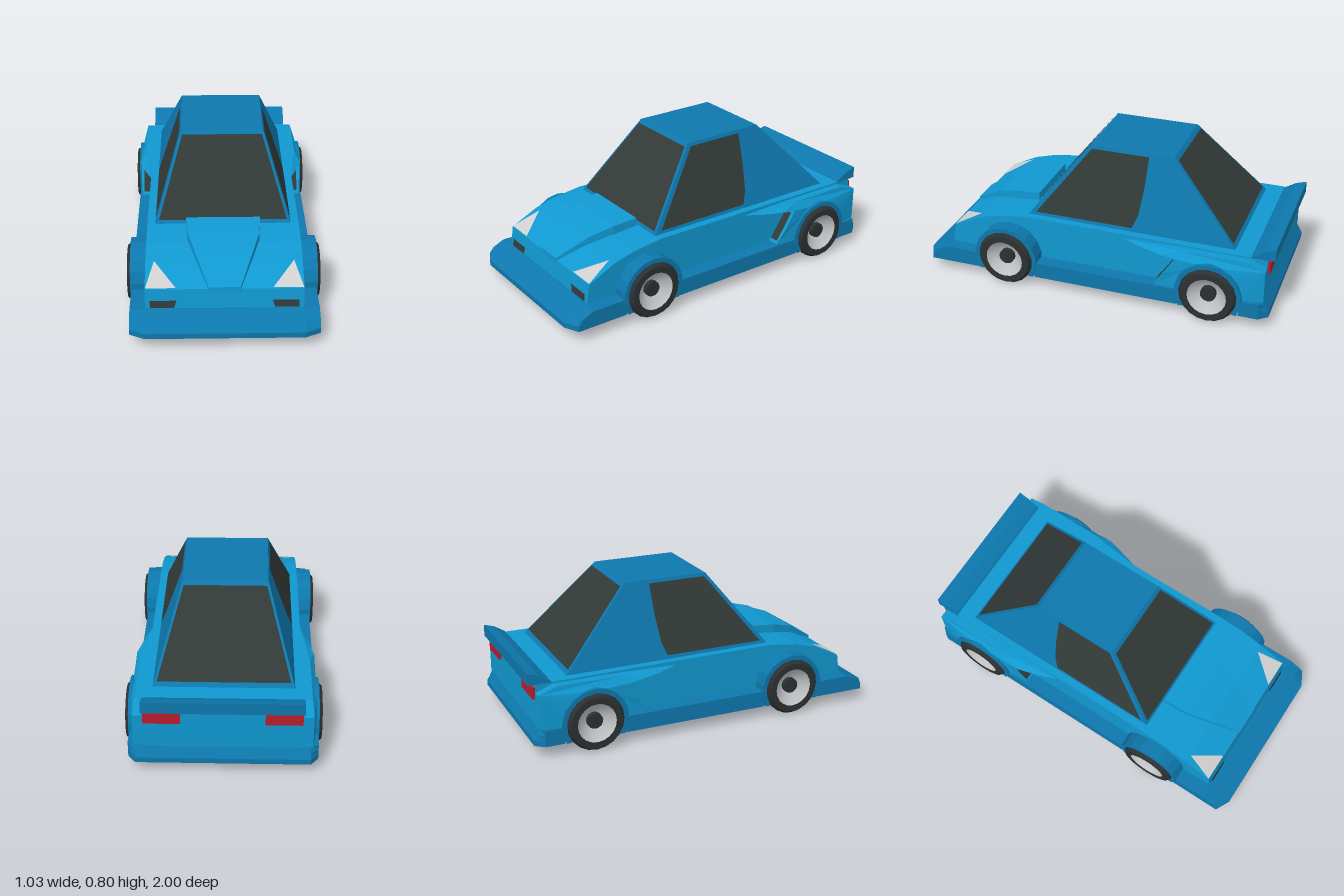
import * as THREE from 'three';

const material = (name, color, side = THREE.FrontSide) => {
  const m = new THREE.MeshStandardMaterial({ color, side, flatShading: true });
  m.name = name;
  return m;
};

export function createModel() {
  const car = new THREE.Group();
  car.name = 'car';
  const bodyBlue = material('body blue', 0x1098d0);
  const trimBlue = material('trim blue', 0x0d78ad);
  const glass = material('dark glass', 0x323a38);
  const rubber = material('tyre black', 0x2b3030);
  const chrome = material('rim silver', 0xc0c2c4, THREE.DoubleSide);
  const lamp = material('headlight white', 0xcfcfcf);
  const red = material('tail light red', 0xb81c2c);
  rubber.flatShading = chrome.flatShading = false;

  const add = (name, geo, mat, parent = car) => {
    const mesh = new THREE.Mesh(geo, mat);
    mesh.name = name;
    parent.add(mesh);
    return mesh;
  };
  // Move every vertex by a rule
  const reshape = (geo, rule) => {
    const p = geo.attributes.position, v = new THREE.Vector3();
    for (let i = 0; i < p.count; i++) {
      rule(v.fromBufferAttribute(p, i));
      p.setXYZ(i, v.x, v.y, v.z);
    }
    geo.computeVertexNormals();
    return geo;
  };
  // Solid with a side profile of [z, y] points, running from x0 to x1
  const sideSolid = (pts, x0, x1) => {
    const shape = new THREE.Shape(pts.map(([z, y]) => new THREE.Vector2(z, y)));
    return new THREE.ExtrudeGeometry(shape, { depth: x1 - x0, bevelEnabled: false })
      .rotateY(-Math.PI / 2).translate(x1, 0, 0);
  };
  // Flat face lying just above a surface, turned towards "out"
  const plate = (pts, out) => {
    const v = pts.map(p => new THREE.Vector3(...p));
    const n = v[1].clone().sub(v[0]).cross(v[2].clone().sub(v[0])).normalize();
    if (n.dot(new THREE.Vector3(...out)) < 0) { v.reverse(); n.negate(); }
    v.forEach(p => p.addScaledVector(n, 0.004));
    const tris = [];
    for (let i = 1; i < v.length - 1; i++) tris.push(v[0], v[i], v[i + 1]);
    const geo = new THREE.BufferGeometry().setFromPoints(tris);
    geo.computeVertexNormals();
    return geo;
  };
  const arc = (cz, r, a0, a1, n = 12) => Array.from({ length: n + 1 }, (_, i) => {
    const a = a0 + (a1 - a0) * i / n;
    return [cz + r * Math.cos(a), 0.157 + r * Math.sin(a)];
  });
  const lerp = THREE.MathUtils.lerp, clamp = THREE.MathUtils.clamp;
  const axles = [0.5, -0.665];

  // Main body
  add('body', sideSolid([[0.86, 0.15], [0.845, 0.262], [0.69, 0.337], [0.57, 0.37],
    [0.4, 0.392], [-0.85, 0.385], [-0.96, 0.385], [-0.96, 0.15]], -0.41, 0.41), bodyBlue);

  // Floor, bumpers and side skirts: one plan outline with notches for the wheels
  const half = [[0.41, 1], [0.49, 0.96]];
  for (const z of axles) half.push([0.49, z + 0.17], [0.4, z + 0.17], [0.4, z - 0.17], [0.49, z - 0.17]);
  half.push([0.49, -0.94], [0.45, -0.99]);
  const plan = [...half, ...half.map(([x, z]) => [-x, z]).reverse()];
  const skirt = new THREE.ExtrudeGeometry(
    new THREE.Shape(plan.map(([x, z]) => new THREE.Vector2(x, -z))),
    { depth: 0.09, steps: 3, bevelEnabled: false }).rotateX(-Math.PI / 2).translate(0, 0.065, 0);
  add('bumpersAndSkirts', reshape(skirt, v => {
    const t = clamp((v.y - 0.095) / 0.06, 0, 1);
    v.z = clamp(v.z, -lerp(0.99, 0.955, t), lerp(1, 0.87, t));
  }), trimBlue);

  // Raised hood, narrowing to the nose
  const stations = [[0.41, 0.2, 0.435], [0.55, 0.19, 0.422], [0.68, 0.15, 0.38], [0.85, 0.082, 0.275]];
  add('hoodBulge', reshape(new THREE.BoxGeometry(2, 1, 1, 1, 1, 3), v => {
    const [z, w, top] = stations[Math.round((v.z + 0.5) * 3)];
    v.set(v.x * w, v.y > 0 ? top : 0.25, z);
  }), bodyBlue);

  // Cabin
  const B = { x: 0.367, y: 0.388, f: 0.405, r: -0.775 }, T = { x: 0.226, y: 0.8, f: 0.085, r: -0.39 };
  add('cabin', reshape(new THREE.BoxGeometry(1, 1, 1), v => {
    const e = v.y > 0 ? T : B;
    v.set(Math.sign(v.x) * e.x, e.y, v.z > 0 ? e.f : e.r);
  }), trimBlue);
  const cabinAt = (y, key) => lerp(B[key], T[key], (y - B.y) / (T.y - B.y));
  // Windscreen and rear window
  for (const [name, key, dir] of [['windscreen', 'f', 1], ['rearWindow', 'r', -1]]) {
    const corner = (s, y) => [s * (cabinAt(y, 'x') - 0.014), y, cabinAt(y, key)];
    add(name, plate([corner(-1, 0.407), corner(1, 0.407), corner(1, 0.78), corner(-1, 0.78)],
      [0, 0.5, dir]), glass);
  }

  // Rear spoiler
  add('spoiler', sideSolid([[-0.87, 0.383], [-0.88, 0.395], [-0.94, 0.432], [-1, 0.45], [-1, 0.385]],
    -0.412, 0.412), trimBlue);

  // Tyre, rim and hub profiles, as [radius, distance along axle]
  const lathe = pts => new THREE.LatheGeometry(pts.map(p => new THREE.Vector2(...p)), 20).rotateZ(-Math.PI / 2);
  const tyreGeo = lathe([[0, 0.32], [0.157, 0.32], [0.157, 0.32], [0.157, 0.495], [0.157, 0.495],
    [0.143, 0.514], [0.143, 0.514], [0.108, 0.514], [0.108, 0.514], [0.105, 0.49]]);
  const rimGeo = lathe([[0.108, 0.512], [0.1, 0.5], [0.045, 0.455], [0, 0.455]]);
  const hubGeo = new THREE.CylinderGeometry(0.043, 0.043, 0.03, 16).rotateZ(Math.PI / 2).translate(0.467, 0, 0);

  for (const s of [1, -1]) {
    const side = new THREE.Group();
    side.name = s > 0 ? 'leftSide' : 'rightSide';
    side.scale.x = s;
    car.add(side);

    // Side window
    const win = [[0.36, 0.408], [0.073, 0.782], [-0.253, 0.782], [-0.245, 0.62], [-0.228, 0.48], [-0.2, 0.408]];
    add('sideWindow', plate(win.map(([z, y]) => [cabinAt(y, 'x'), y, z]), [1, 0, 0]), glass, side);

    // Headlight, grille slot and tail light
    add('headlight', plate([[0.408, 0.264, 0.841], [0.25, 0.264, 0.841], [0.365, 0.336, 0.692]],
      [0, 1, 1]), lamp, side);
    const nose = y => 0.86 - 0.015 * (y - 0.15) / 0.112;
    add('grilleSlot', plate([[0.385, 0.16], [0.385, 0.2], [0.248, 0.2], [0.26, 0.16]]
      .map(([x, y]) => [x, y, nose(y)]), [0, 0, 1]), glass, side);
    add('tailLight', new THREE.BoxGeometry(0.19, 0.065, 0.02).translate(0.31, 0.335, -0.965), red, side);

    for (const z of axles) {
      // Wheel arch
      add('wheelArch', sideSolid([...arc(z, 0.185, -0.52, Math.PI + 0.52),
        ...arc(z, 0.16, Math.PI + 0.6, -0.6)], 0.4, 0.496), trimBlue, side);
      // Wheel
      const wheel = new THREE.Group();
      wheel.name = 'wheel';
      wheel.position.set(0, 0.157, z);
      side.add(wheel);
      add('tyre', tyreGeo, rubber, wheel);
      add('rim', rimGeo, chrome, wheel);
      add('hub', hubGeo, rubber, wheel);
    }

    // Flared rear fender with a pointed leading tip
    const fender = sideSolid([[-0.18, 0.367], [-0.28, 0.355], [-0.4, 0.348], [-0.48, 0.335], [-0.42, 0.24],
      [-0.36, 0.155], ...arc(axles[1], 0.17, 0, Math.PI), [-0.96, 0.155], [-0.96, 0.34],
      [-0.86, 0.375], [-0.5, 0.375]], 0.4, 0.475);
    add('rearFender', reshape(fender, v => {
      if (v.x < 0.45) return;
      v.x = lerp(0.415, 0.482, clamp((-0.18 - v.z) / 0.2, 0, 1));
      if (v.y > 0.36) v.x = Math.min(v.x, 0.455);
      if (v.z < -0.9) v.x = 0.46;
    }), bodyBlue, side);
    // Air intake at the front of the fender
    add('airIntake', plate([[0.414, 0.32, -0.471], [0.465, 0.32, -0.471], [0.465, 0.24, -0.42],
      [0.414, 0.24, -0.42]], [0, 0.5, 1]), glass, side);
    add('airIntakeLower', plate([[0.414, 0.24, -0.42], [0.465, 0.24, -0.42], [0.465, 0.17, -0.371],
      [0.414, 0.17, -0.371]], [0, 0.5, 1]), glass, side);
  }
  return car;
}
